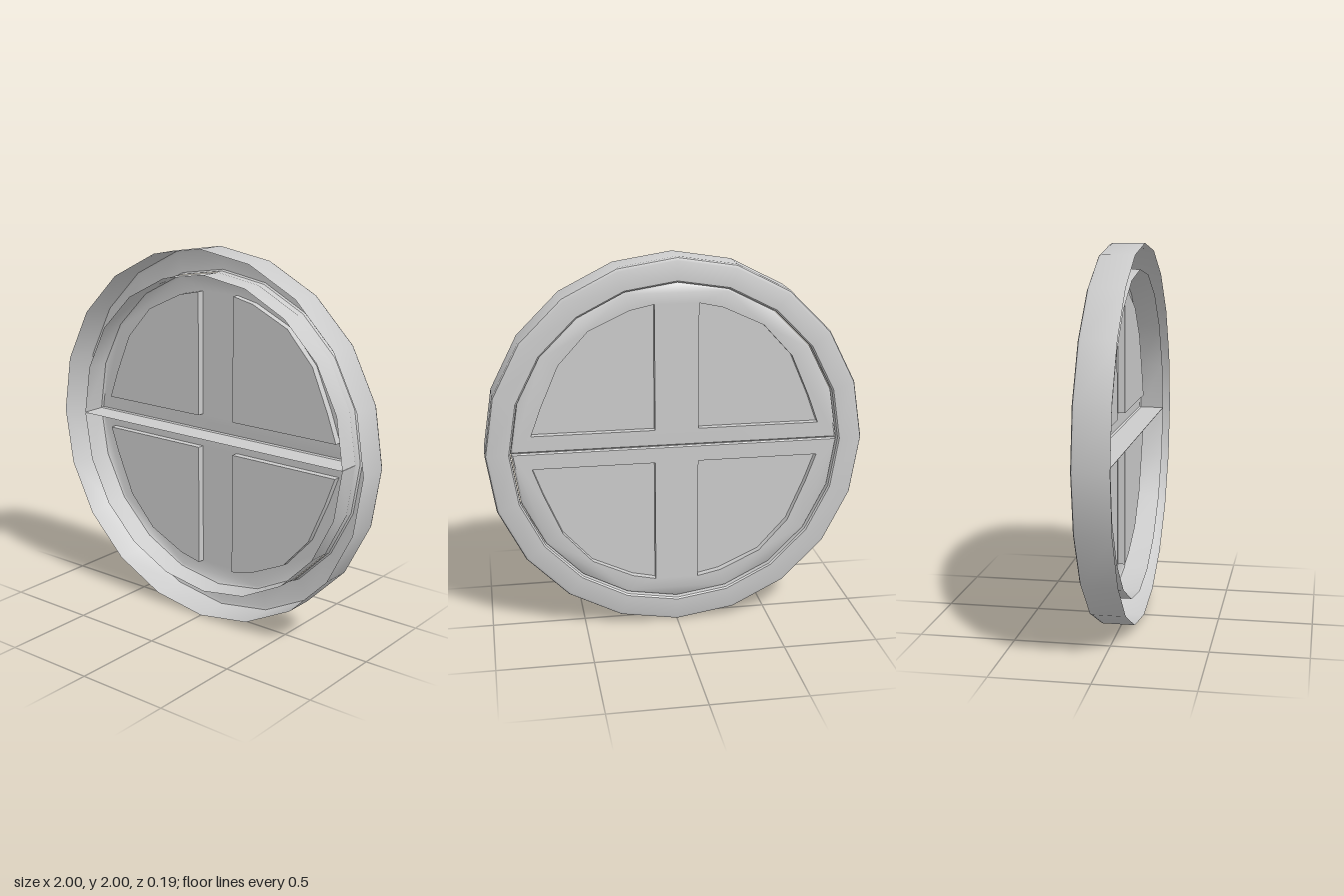
import * as THREE from 'three';
import { mergeGeometries, toCreasedNormals } from 'three/addons/utils/BufferGeometryUtils.js';

const SIDES = 20;
const material = new THREE.MeshStandardMaterial({ color: 0xcccccc, side: THREE.DoubleSide });
const v2 = (x, y) => new THREE.Vector2(x, y);

function mesh(name, geometry) {
  const m = new THREE.Mesh(toCreasedNormals(geometry, 0.7), material);
  m.name = name;
  return m;
}

// Wall joining a stack of matching closed loops; counter-clockwise loops face outward
function band(levels) {
  const pos = [];
  for (let l = 0; l + 1 < levels.length; l++) {
    const [lo, zLo] = levels[l], [hi, zHi] = levels[l + 1];
    lo.forEach((a, i) => {
      const j = (i + 1) % lo.length;
      const A = [a.x, a.y, zLo], B = [lo[j].x, lo[j].y, zLo];
      const C = [hi[j].x, hi[j].y, zHi], D = [hi[i].x, hi[i].y, zHi];
      pos.push(...A, ...B, ...C, ...A, ...C, ...D);
    });
  }
  const g = new THREE.BufferGeometry();
  g.setAttribute('position', new THREE.Float32BufferAttribute(pos, 3));
  return g;
}

// Flat face at depth z, optionally with holes
function face(loop, z, holes = []) {
  const shape = new THREE.Shape(loop);
  holes.forEach(h => shape.holes.push(new THREE.Path(h)));
  const g = new THREE.ShapeGeometry(shape).toNonIndexed().translate(0, 0, z);
  g.deleteAttribute('uv');
  g.deleteAttribute('normal');
  return g;
}

// Half of the twenty-sided disc, cut straight along its lower edge
function halfDisc(r, cut) {
  return Array.from({ length: SIDES / 2 + 1 }, (_, i) => {
    const a = i * 2 * Math.PI / SIDES;
    return v2(r * Math.cos(a), Math.max(r * Math.sin(a), cut));
  });
}

// Half sash: an open-fronted shell with two recessed panes
function createSash(name) {
  const FACE = 0.07, PANE = 0.032, OPEN = -0.07;
  const right = [[0.115, 0.09], [0.76, 0.09], [0.705, 0.24], [0.61, 0.46],
    [0.455, 0.63], [0.24, 0.73], [0.115, 0.757]].map(p => v2(...p));
  const left = right.map(p => v2(-p.x, p.y)).reverse();
  const rim = halfDisc(0.866, 0.001), inset = halfDisc(0.856, 0.008);

  const sash = new THREE.Group();
  sash.name = name;
  sash.add(mesh('sashFrame', mergeGeometries([
    band([[rim, OPEN], [rim, FACE - 0.008], [inset, FACE]]),
    face(inset, FACE, [right, left]),
  ])));
  for (const loop of [right, left]) {
    sash.add(mesh('paneReveal', band([[[...loop].reverse(), PANE], [[...loop].reverse(), FACE]])));
    sash.add(mesh('pane', face(loop, PANE)));
  }
  return sash;
}

export function createModel() {
  const model = new THREE.Group();
  model.name = 'roundWindow';

  // The finished face is built towards +z, then turned to the rear
  const win = new THREE.Group();
  win.name = 'window';
  win.position.y = 1;
  win.rotation.y = Math.PI;
  model.add(win);

  // Outer ring: side wall, rounded edge, flat face and inner return
  const profile = [[1, -0.094], [1, 0.074], [0.994, 0.088], [0.98, 0.094],
    [0.878, 0.094], [0.87, 0.086], [0.87, 0.04]].map(p => v2(...p));
  win.add(mesh('outerRing', new THREE.LatheGeometry(profile, SIDES).rotateX(Math.PI / 2)));

  // Two matching sashes meeting at the middle
  const lower = createSash('lowerSash');
  lower.rotation.z = Math.PI;
  win.add(createSash('upperSash'), lower);

  return model;
}
